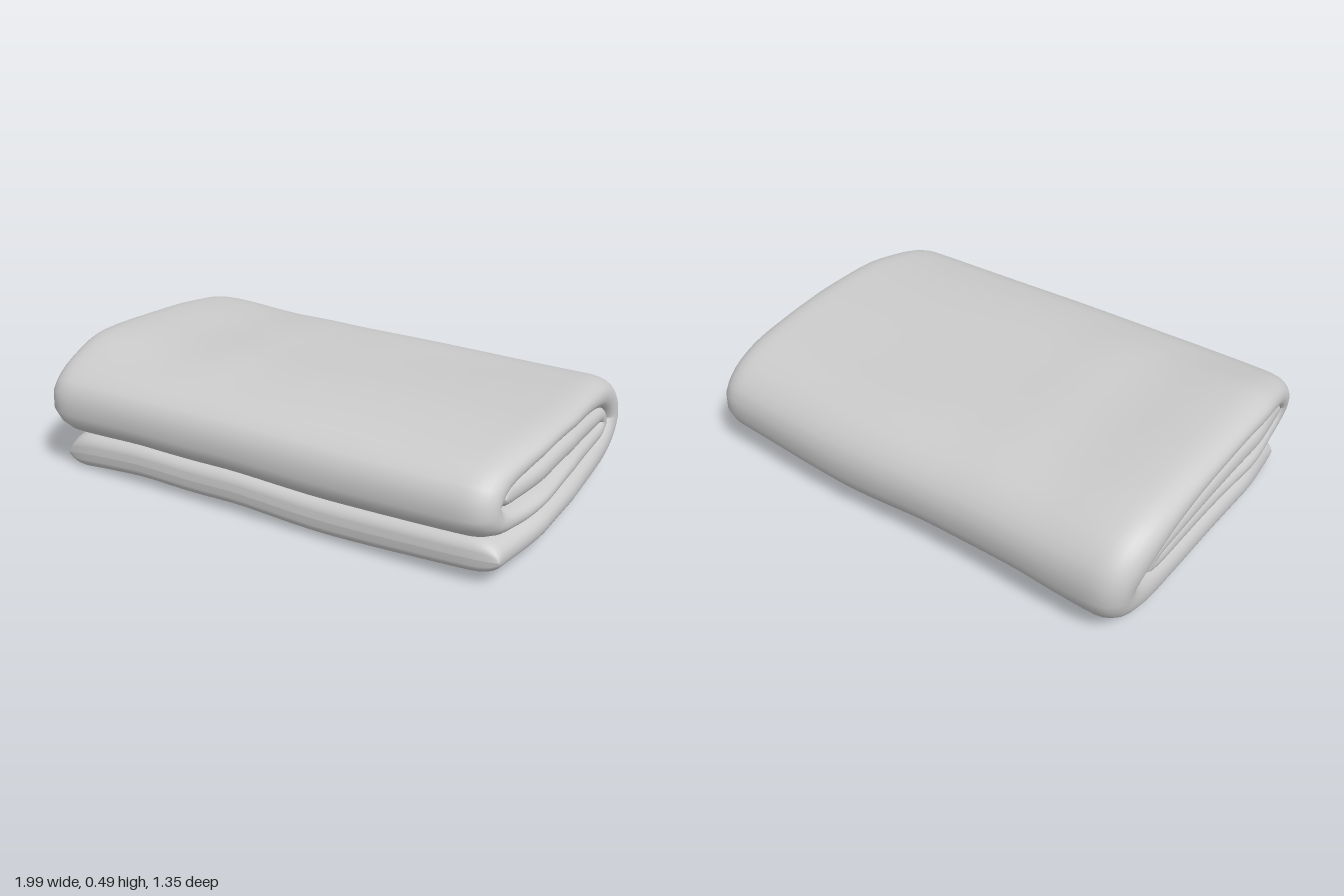
import * as THREE from 'three';

const { smoothstep, lerp, clamp } = THREE.MathUtils;

// Centreline of the folded cloth, from the lower front hem inwards:
// [half thickness, height, depth]
const FOLD = [
  [0.068, 0.1, 0.605], [0.068, 0.1, 0.45], [0.068, 0.106, 0.25], [0.07, 0.108, 0],
  [0.076, 0.104, -0.28], [0.085, 0.112, -0.45], [0.092, 0.15, -0.55], [0.092, 0.21, -0.583],
  [0.088, 0.275, -0.548], [0.075, 0.338, -0.45], [0.06, 0.385, -0.25], [0.052, 0.41, 0],
  [0.052, 0.419, 0.25], [0.056, 0.403, 0.42], [0.063, 0.366, 0.55], [0.066, 0.305, 0.608],
  [0.062, 0.243, 0.575], [0.05, 0.215, 0.46], [0.045, 0.217, 0.25], [0.045, 0.222, 0],
  [0.043, 0.21, -0.25], [0.042, 0.205, -0.39], [0.04, 0.225, -0.45], [0.04, 0.262, -0.42],
  [0.045, 0.288, -0.28], [0.05, 0.315, 0], [0.05, 0.32, 0.25], [0.048, 0.315, 0.545],
];

// Rounded hem: 0 at the edge, 1 once `radius` inside it
const hem = (distance, radius, power) => {
  const d = 1 - clamp(distance / radius, 0, 1);
  return Math.pow(Math.max(0, 1 - Math.pow(d, power)), 1 / power);
};

const bump = (x, centre, width) => Math.exp(-(((x - centre) / width) ** 2));

// Soft unevenness of the upper and lower faces
const topOffset = (x, z) =>
  (0.027 * bump(x, -0.87, 0.24) + 0.007 * bump(x, -0.35, 0.15)) * (1 - smoothstep(z, 0.3, 0.6))
  - 0.013 * smoothstep(x, 0, 0.9)
  - 0.012 * bump(x, 0.4, 0.35) * bump(z, -0.25, 0.2);

const bottomOffset = (x) =>
  0.017 * smoothstep(x, 0.45, 0.95) - 0.015 * smoothstep(-x, 0.5, 0.95)
  - 0.01 * bump(x, 0.27, 0.2) + 0.005 * bump(x, -0.1, 0.12) + 0.004 * bump(x, -0.52, 0.12);

function clothGeometry() {
  const curve = new THREE.CatmullRomCurve3(FOLD.map((p) => new THREE.Vector3(...p)));
  curve.arcLengthDivisions = 1000;
  const length = curve.getLength();
  const rows = 280, around = 96;
  const positions = [], indices = [];

  for (let i = 0; i <= rows; i++) {
    // Denser rows near both hems
    const k = i / rows;
    const u = clamp(k - (0.85 * Math.sin(2 * Math.PI * k)) / (2 * Math.PI), 0, 1);
    const c = curve.getPointAt(u);
    const t = curve.getTangentAt(u);
    const norm = Math.hypot(t.y, t.z);
    const nz = -t.y / norm, ny = t.z / norm;
    const half = c.x * hem(Math.min(u, 1 - u) * length, 0.06, 2.6);

    // Side edges differ between layers and draw in towards the front
    const inner = smoothstep(u, 0.6, 0.72);
    const drawIn = 0.045 * smoothstep(c.z, 0.25, 0.65) + 0.01 * inner;
    const left = 0.992 - 0.065 * Math.max(0, -c.z) - 0.06 * Math.max(0, c.y - 0.2) - drawIn;
    const right = -(0.965 + 0.035 * smoothstep(c.y, 0.12, 0.36)) + drawIn;
    const radius = lerp(0.12, 0.06, inner);

    for (let j = 0; j < around; j++) {
      const a = (j / around) * 2 * Math.PI;
      const s = Math.cos(a);
      const x = lerp(right, left, (s + 1) / 2);
      const off = half * hem(1 - Math.abs(s), radius, 2.3) * Math.sign(Math.round(Math.sin(a) * 1e6));
      let y = c.y + ny * off;
      let z = c.z + nz * off;

      // Uneven faces, wavy back fold, folds pulled in at the corners
      y += lerp(bottomOffset(x), topOffset(x, z), clamp((y - 0.03) / 0.44, 0, 1));
      z -= 0.007 * Math.cos(5.6 * (x - 0.27)) * smoothstep(-z, 0.3, 0.6);
      z *= 1 - (s > 0 || z > 0 ? 0.035 : 0.012) * Math.pow(Math.abs(s), 14);
      // Drooping corner of the lower front hem
      y -= 0.03 * Math.pow(Math.max(0, -s), 10) * (1 - smoothstep(u, 0, 0.08));
      positions.push(x, y, z);

      if (i < rows) {
        const p = i * around + j, q = i * around + ((j + 1) % around);
        indices.push(p, q, p + around, q, q + around, p + around);
      }
    }
  }

  const geometry = new THREE.BufferGeometry();
  geometry.setAttribute('position', new THREE.Float32BufferAttribute(positions, 3));
  geometry.setIndex(indices);

  // Rest on the ground, centred
  geometry.computeBoundingBox();
  const box = geometry.boundingBox;
  const mid = box.getCenter(new THREE.Vector3());
  geometry.translate(-mid.x, -box.min.y, -mid.z);
  geometry.computeVertexNormals();
  return geometry;
}

export function createModel() {
  const group = new THREE.Group();
  group.name = 'foldedTowel';
  const material = new THREE.MeshStandardMaterial({ color: 0xcccccc, side: THREE.DoubleSide });
  const cloth = new THREE.Mesh(clothGeometry(), material);
  cloth.name = 'foldedCloth';
  group.add(cloth);
  return group;
}
